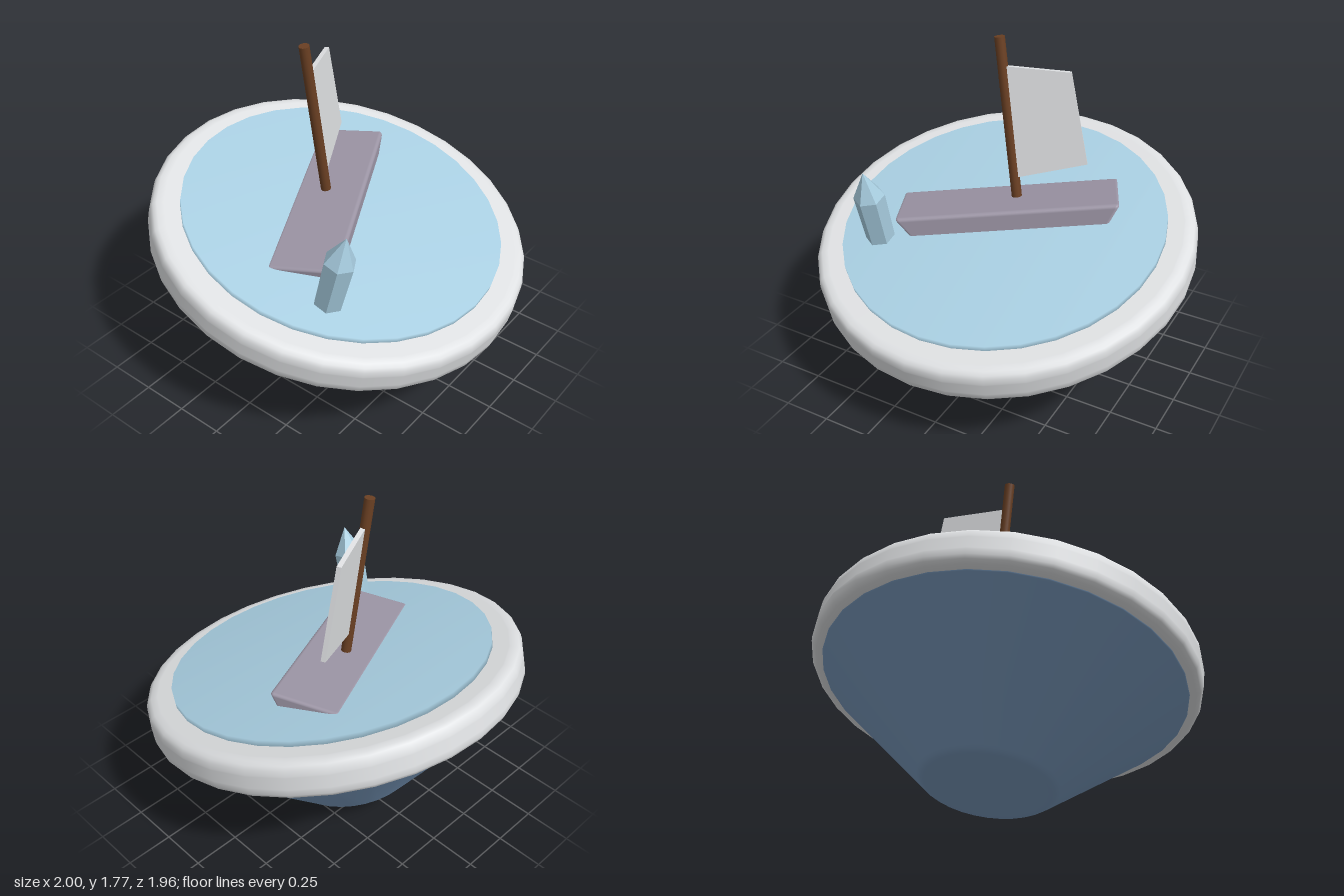
import * as THREE from 'three';
import { RoundedBoxGeometry } from 'three/addons/geometries/RoundedBoxGeometry.js';

const mat = (name, color) => {
  const m = new THREE.MeshStandardMaterial({ color });
  m.name = name;
  return m;
};

// Turned solid: profile corners [radius, height, bevel], with guard loops that keep flat areas flat
function turned(corners, segments = 32) {
  const pts = [];
  corners.forEach(([r, h, bevel], i) => {
    const p = new THREE.Vector2(r, h);
    if (!bevel) { pts.push(p); return; }
    const along = (q, d) => p.clone().add(new THREE.Vector2(q[0] - r, q[1] - h).normalize().multiplyScalar(d));
    const a = along(corners[i - 1], bevel), b = along(corners[i + 1], bevel);
    pts.push(along(corners[i - 1], bevel + 0.008));
    for (let k = 0; k <= 4; k++) {
      const t = k / 4;
      pts.push(a.clone().multiplyScalar((1 - t) ** 2)
        .add(p.clone().multiplyScalar(2 * t * (1 - t)))
        .add(b.clone().multiplyScalar(t * t)));
    }
    pts.push(along(corners[i + 1], bevel + 0.008));
  });
  return new THREE.LatheGeometry(pts, segments);
}

export function createModel() {
  const white = mat('white', 0xdfe1e3);
  const blue = mat('slate blue', 0x7898bb);
  const ice = mat('ice blue', 0xa9cfe2);
  const grey = mat('mauve grey', 0x9b94a4);
  const brown = mat('brown', 0x6b4023);

  const model = new THREE.Group();
  model.name = 'tiltedBowlWithBoat';
  const add = (parent, name, geometry, material, x = 0, y = 0, z = 0) => {
    const mesh = new THREE.Mesh(geometry, material);
    mesh.name = name;
    mesh.position.set(x, y, z);
    parent.add(mesh);
    return mesh;
  };

  // Tilted bowl with its rim and water disc
  const bowl = new THREE.Group();
  bowl.name = 'bowl';
  bowl.position.set(0, 0.078, -0.155);
  bowl.rotation.x = 0.25;
  model.add(bowl);
  add(bowl, 'cone', turned([[0, 0], [0.325, 0, 0.025], [0.94, 0.555, 0.015], [0, 0.56]]), blue);
  add(bowl, 'rim', turned([[0.8, 0.55], [1, 0.55, 0.06], [1, 0.75, 0.06], [0.8, 0.75]]), white);
  // Softly shaded edge
  add(bowl, 'water', new THREE.LatheGeometry(
    [[0, 0.72], [0.85, 0.72], [0.85, 0.78], [0, 0.78]].map(p => new THREE.Vector2(...p)), 32), ice);

  // Six-sided crystal
  const crystal = new THREE.Group();
  crystal.name = 'crystal';
  crystal.position.set(-0.55, 0, 0.345);
  bowl.add(crystal);
  const facets = (top, bottom, height) => {
    const g = new THREE.CylinderGeometry(top, bottom, height, 6).toNonIndexed();
    g.computeVertexNormals();
    return g;
  };
  add(crystal, 'crystalShaft', facets(0.081, 0.075, 0.32), ice, 0, 0.9, 0);
  add(crystal, 'crystalTip', facets(0, 0.081, 0.153), ice, 0, 1.1365, 0);

  // Boat riding up out of the water
  const boat = new THREE.Group();
  boat.name = 'boat';
  boat.position.set(-0.02, 0.912, -0.05);
  boat.rotation.set(-0.09, 0.435, 0.11, 'YXZ');
  model.add(boat);

  // Hull narrows toward the keel
  const hull = new RoundedBoxGeometry(1.17, 0.2, 0.36, 3, 0.022);
  const pos = hull.attributes.position;
  for (let i = 0; i < pos.count; i++) {
    const s = 0.9 + pos.getY(i);
    pos.setX(i, pos.getX(i) * s);
    pos.setZ(i, pos.getZ(i) * s);
  }
  add(boat, 'hull', hull, grey, 0, -0.1, 0);
  add(boat, 'mast', new THREE.CylinderGeometry(0.027, 0.027, 0.92, 12), brown, 0.045, 0.4, -0.025);

  // Four-cornered sail
  const sail = new THREE.Shape([[0.055, 0.11], [0.428, 0.155], [0.385, 0.65], [0.06, 0.71]]
    .map(p => new THREE.Vector2(...p)));
  add(boat, 'sail', new THREE.ExtrudeGeometry(sail, { depth: 0.024, bevelEnabled: false }), white, 0, 0, -0.032);

  return model;
}
